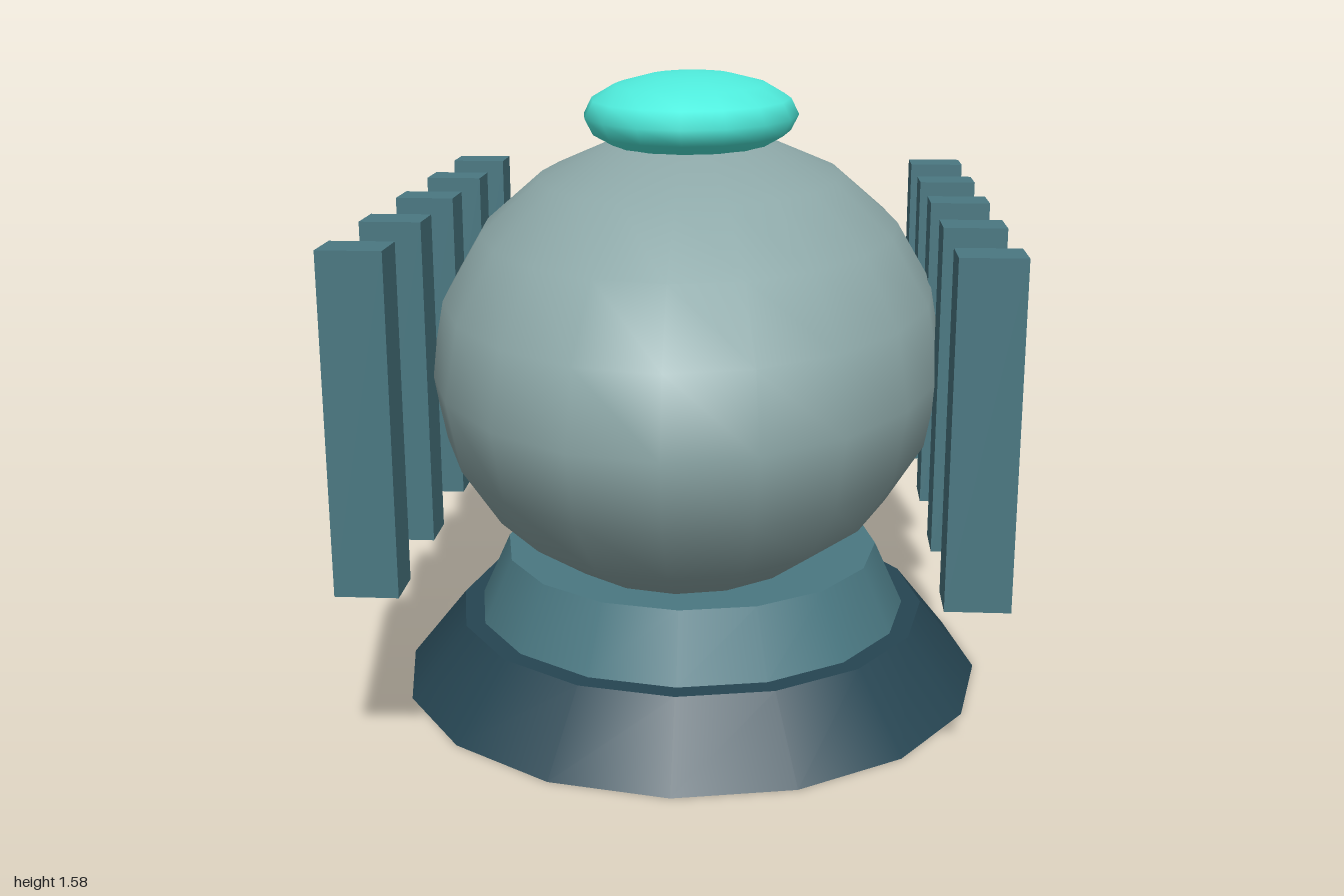
import * as THREE from 'three';

const paint = (color) => new THREE.MeshStandardMaterial({ color });

export function createModel() {
  const model = new THREE.Group();
  model.name = 'pod';

  const hull = paint(0x8faaaa);
  const teal = paint(0x4a7882);
  const dark = paint(0x264552);
  const glow = paint(0x50eede);

  const add = (name, geometry, material, x, y, z) => {
    const mesh = new THREE.Mesh(geometry, material);
    mesh.name = name;
    mesh.position.set(x, y, z);
    model.add(mesh);
    return mesh;
  };

  // Stepped round pedestal
  add('lowerBase', new THREE.CylinderGeometry(0.615, 0.762, 0.182, 16), dark, 0, 0.091, 0);
  add('upperBase', new THREE.CylinderGeometry(0.49, 0.565, 0.165, 16), teal, 0, 0.2645, 0);

  // Long egg-shaped body
  const body = new THREE.SphereGeometry(1, 20, 10).scale(0.645, 0.557, 1);
  add('body', body, hull, 0, 0.88, 0);

  // Flattened canopy on top
  const canopy = new THREE.SphereGeometry(1, 16, 8).scale(0.27, 0.105, 0.397);
  add('canopy', canopy, glow, 0, 1.477, 0);

  // Row of upright fins along each side
  const fin = new THREE.BoxGeometry(0.145, 0.78, 0.115);
  for (const [side, label] of [[1, 'left'], [-1, 'right']]) {
    for (let i = -2; i <= 2; i++) {
      add(`${label}Fin${i + 3}`, fin, teal, side * 0.672, 0.876, i * 0.365);
    }
  }
  return model;
}
